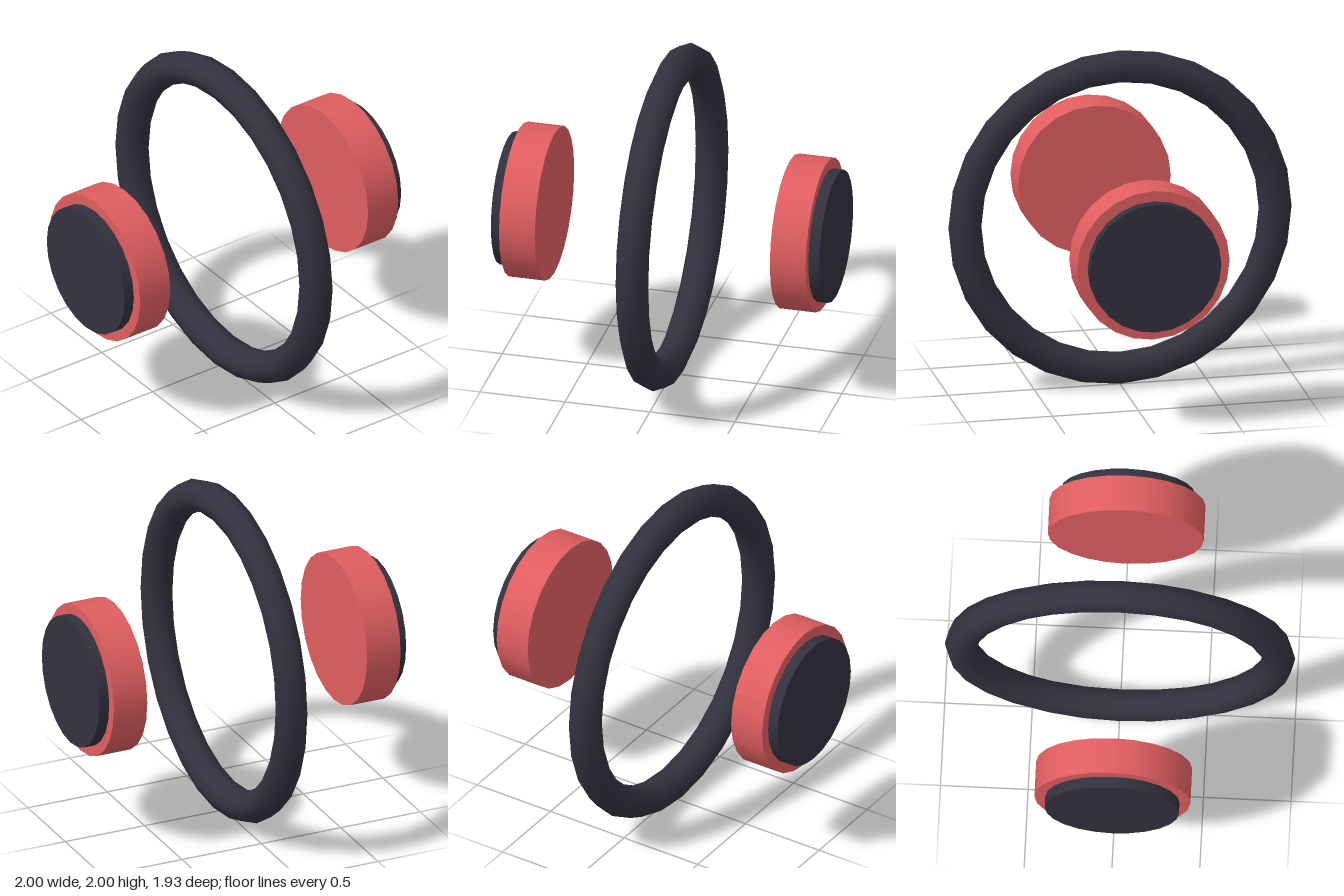
import * as THREE from 'three';

export function createModel() {
  const dark = new THREE.MeshStandardMaterial({ color: 0x32313f });
  dark.name = 'charcoal';
  const red = new THREE.MeshStandardMaterial({ color: 0xe05e60 });
  red.name = 'coral red';

  const model = new THREE.Group();
  model.name = 'headphones';

  const add = (parent, name, geometry, material) => {
    const mesh = new THREE.Mesh(geometry, material);
    mesh.name = name;
    parent.add(mesh);
    return mesh;
  };

  // Full-circle headband
  add(model, 'headband', new THREE.TorusGeometry(0.904, 0.096, 8, 28), dark).position.y = 1;

  // Disc lying along z, spanning z0 to z1
  const disc = (radius, z0, z1) =>
    new THREE.CylinderGeometry(radius, radius, z1 - z0, 24)
      .rotateX(Math.PI / 2)
      .translate(0, 0, (z0 + z1) / 2);

  // Ear cups: a red cushion with a dark outer cap, one on each side of the band
  for (const [name, turn] of [['frontEarCup', 0], ['backEarCup', Math.PI]]) {
    const cup = new THREE.Group();
    cup.name = name;
    cup.position.y = 1;
    cup.rotation.y = turn;
    add(cup, 'cushion', disc(0.445, 0.692, 0.903), red);
    add(cup, 'outerCap', disc(0.383, 0.89, 0.967), dark);
    model.add(cup);
  }

  return model;
}
